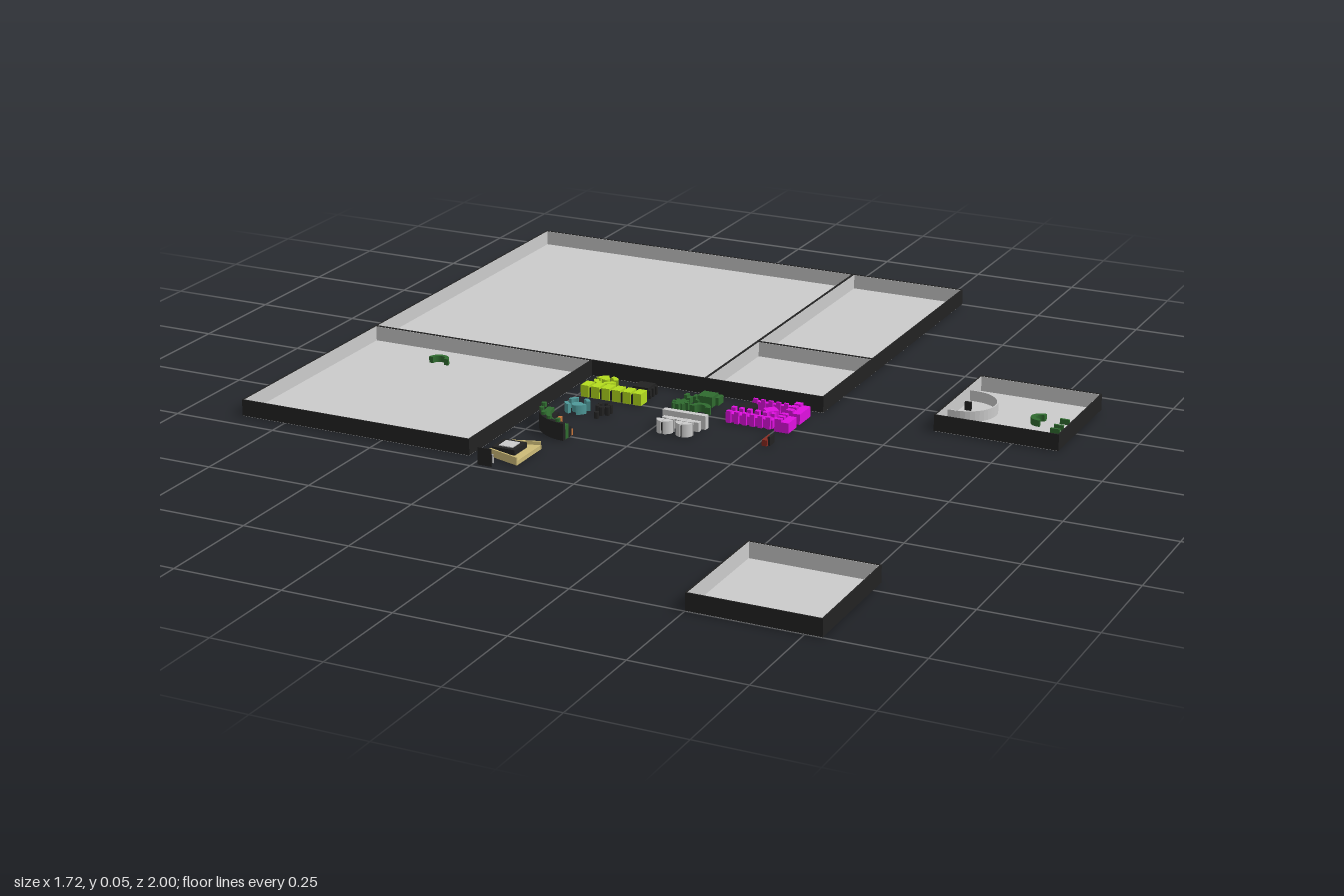
import * as THREE from 'three';

const mats = {};
const mat = (c) => (mats[c] ??= new THREE.MeshStandardMaterial({ color: c, flatShading: true, side: THREE.DoubleSide }));
const GREY = 0xcccccc, DARK = 0x222222, LIME = 0xb4dc1e, GREEN = 0x2f6b2f, PINK = 0xe010e0;
const TEAL = 0x4f9a9a, TAN = 0xcdbb78, ORANGE = 0xc8743a, RED = 0x8a2a20;

function add(parent, name, geo, color, x = 0, y = 0, z = 0) {
  const m = new THREE.Mesh(geo, mat(color));
  m.name = name;
  m.position.set(x, y, z);
  parent.add(m);
  return m;
}

// Box given by its centre in plan, its base height and its size
const box = (p, name, c, x, z, w, d, h, y = 0) =>
  add(p, name, new THREE.BoxGeometry(w, h, d), c, x, y + h / 2, z);

const disc = (p, name, c, x, z, r, h, y = 0, sides = 20) =>
  add(p, name, new THREE.CylinderGeometry(r, r, h, sides), c, x, y + h / 2, z);

// Upright extrusion of a plan shape; shape y points to -z
function slab(p, name, c, shape, x, z, h, y = 0) {
  const g = new THREE.ExtrudeGeometry(shape, { depth: h, bevelEnabled: false, curveSegments: 10 });
  g.rotateX(-Math.PI / 2);
  return add(p, name, g, c, x, y, z);
}

// Curved wall between two angles (degrees)
function arc(p, name, c, x, z, ri, ro, a0, a1, h, y = 0) {
  const s = new THREE.Shape(), a = a0 * Math.PI / 180, b = a1 * Math.PI / 180;
  s.absarc(0, 0, ro, a, b, false);
  s.absarc(0, 0, ri, b, a, true);
  s.closePath();
  return slab(p, name, c, s, x, z, h, y);
}

function group(parent, name) {
  const g = new THREE.Group();
  g.name = name;
  parent.add(g);
  return g;
}

// Open tray: floor, dark outer walls and light inner lining
function tray(parent, name, x0, x1, z0, z1) {
  const g = group(parent, name), H = 0.038, t = 0.003;
  const w = x1 - x0, d = z1 - z0, cx = (x0 + x1) / 2, cz = (z0 + z1) / 2;
  box(g, 'floor', GREY, cx, cz, w - 0.002, d - 0.002, 0.003);
  for (const s of [-1, 1]) {
    box(g, 'sideWall', DARK, cx + s * (w - t) / 2, cz, t, d, H, 0.001);
    box(g, 'endWall', DARK, cx, cz + s * (d - t) / 2, w, t, H, 0.001);
    box(g, 'sideLining', GREY, cx + s * (w / 2 - t - 0.0005), cz, 0.001, d - 2 * t, H - 0.002, 0.002);
    box(g, 'endLining', GREY, cx, cz + s * (d / 2 - t - 0.0005), w - 2 * t, 0.001, H - 0.002, 0.002);
  }
  return g;
}

// Ring of separate curved walls
function brokenRing(p, name, c, x, z, ri, ro, n, gap, h) {
  for (let i = 0; i < n; i++) {
    const a = (i * 360) / n + gap / 2;
    arc(p, name, c, x, z, ri, ro, a, a + 360 / n - gap, h);
  }
}

// Battlement strip along x with teeth on one edge
function battlement(p, x0, x1, z, d, n, side) {
  box(p, 'battlementWall', PINK, (x0 + x1) / 2, z, x1 - x0, d * 0.6, 0.02);
  const step = (x1 - x0) / n;
  for (let i = 0; i < n; i++) {
    box(p, 'battlementTooth', PINK, x0 + (i + 0.5) * step, z + side * d * 0.35, step * 0.55, d * 0.3, 0.028);
  }
}

export function createModel() {
  const model = new THREE.Group();
  model.name = 'trayLayout';

  // Trays
  tray(model, 'largeTray', -0.86, 0.01, -1, -0.13);
  tray(model, 'longTray', 0.01, 0.302, -1, -0.42);
  tray(model, 'smallTray', 0.01, 0.302, -0.42, -0.13);
  const mid = tray(model, 'mediumTray', -0.86, -0.28, -0.13, 0.45);
  const yard = tray(model, 'separateTray', 0.567, 0.857, -0.42, -0.13);
  tray(model, 'frontTray', 0.5, 0.787, 0.71, 1);

  // Pieces standing in the trays
  arc(mid, 'curvedBarrier', GREEN, -0.637, -0.04, 0.015, 0.025, 0, 180, 0.015, 0.003);
  arc(yard, 'roundWall', GREY, 0.589, -0.275, 0.068, 0.071, -90, 90, 0.025, 0.003);
  box(yard, 'roundWallBack', GREY, 0.58, -0.345, 0.02, 0.003, 0.025, 0.003);
  box(yard, 'roundWallFront', GREY, 0.58, -0.205, 0.02, 0.003, 0.025, 0.003);
  box(yard, 'post', DARK, 0.59, -0.283, 0.015, 0.006, 0.02, 0.003);
  arc(yard, 'curvedBarrier', GREEN, 0.767, -0.273, 0.013, 0.024, 80, 280, 0.015, 0.003);
  for (const z of [-0.29, -0.25, -0.225]) box(yard, 'lowBarrier', GREEN, 0.816, z, 0.022, 0.006, 0.012, 0.003);

  // Lime set: ring, toothed block and row of blocks
  const lime = group(model, 'limeSet');
  brokenRing(lime, 'limeRing', LIME, -0.21, -0.065, 0.017, 0.028, 4, 24, 0.022);
  disc(lime, 'limeCore', LIME, -0.21, -0.065, 0.01, 0.025);
  box(lime, 'darkBlock', DARK, -0.113, -0.065, 0.038, 0.038, 0.025);
  for (let i = -1; i <= 1; i++) {
    box(lime, 'blockTooth', DARK, -0.113 + i * 0.016, -0.065, 0.008, 0.05, 0.02);
    box(lime, 'blockTooth', DARK, -0.113, -0.065 + i * 0.016, 0.05, 0.008, 0.02);
  }
  for (let i = 0; i < 6; i++) box(lime, 'limeBlock', LIME, -0.229 + i * 0.0265, -0.01, 0.02, 0.032, 0.028);
  box(lime, 'rowSpine', DARK, -0.163, -0.01, 0.15, 0.024, 0.022);

  // Green set: hedge block, cross, half ring and scraps
  const green = group(model, 'greenSet');
  box(green, 'hedgeBlock', GREEN, 0.045, -0.07, 0.036, 0.036, 0.025);
  box(green, 'hedgeCorner', GREEN, 0.058, -0.085, 0.025, 0.025, 0.018);
  for (const [x, z] of [[-0.01, -0.075], [0.005, -0.06], [0.028, -0.055], [0.012, -0.075]])
    box(green, 'hedgeScrap', GREEN, x, z, 0.008, 0.016, 0.015);
  for (let i = 0; i < 4; i++) {
    const arm = box(green, 'bushArm', GREEN, 0.002, -0.017, 0.04, 0.008, 0.018);
    arm.rotation.y = (i * Math.PI) / 4;
  }
  arc(green, 'curvedBarrier', GREEN, 0.055, -0.005, 0.013, 0.025, 0, 180, 0.018);

  // Magenta set: battlements, towers, disc and diamond
  const pink = group(model, 'magentaSet');
  battlement(pink, 0.148, 0.242, -0.09, 0.02, 5, 1);
  battlement(pink, 0.127, 0.242, 0, 0.036, 6, -1);
  battlement(pink, 0.127, 0.242, 0.004, 0.03, 6, 1);
  for (const z of [-0.068, 0.002]) {
    const d = z < 0 ? 0.06 : 0.045;
    box(pink, 'gateBlock', PINK, 0.274, z, 0.022, d, 0.024);
    for (const s of [-1, 0, 1]) box(pink, 'gateTooth', PINK, 0.259, z + s * d * 0.38, 0.016, d * 0.24, 0.03);
  }
  disc(pink, 'darkDisc', DARK, 0.155, -0.05, 0.021, 0.022);
  disc(pink, 'diamond', PINK, 0.211, -0.048, 0.02, 0.022, 0, 4);

  // Teal ring and dark cluster
  const teal = group(model, 'tealSet');
  brokenRing(teal, 'tealRing', TEAL, -0.202, 0.093, 0.02, 0.029, 4, 40, 0.022);
  disc(teal, 'tealCore', TEAL, -0.202, 0.093, 0.013, 0.016);
  for (let i = 0; i < 6; i++) {
    const a = (i * Math.PI) / 3 + Math.PI / 6;
    disc(teal, 'clusterPost', DARK, -0.14 + 0.014 * Math.cos(a), 0.083 + 0.014 * Math.sin(a), 0.006, 0.02, 0, 8);
  }
  disc(teal, 'clusterCore', DARK, -0.14, 0.083, 0.008, 0.014, 0, 8);
  disc(teal, 'loosePost', DARK, -0.141, 0.118, 0.006, 0.015, 0, 8);

  // Grey set: two long bars and two spoked drums
  const grey = group(model, 'greySet');
  box(grey, 'longBar', GREY, 0.058, 0.075, 0.106, 0.014, 0.032);
  box(grey, 'shortBar', GREY, 0.058, 0.096, 0.09, 0.012, 0.022);
  for (const x of [0.034, 0.081]) {
    for (let q = 0; q < 4; q++) {
      if (x < 0.05 && q === 1) continue;
      arc(grey, 'drumQuarter', GREY, x, 0.127, 0.003, 0.02, q * 90 + 7, q * 90 + 83, 0.03);
    }
    box(grey, 'drumSpoke', DARK, x, 0.127, 0.036, 0.003, 0.026);
    box(grey, 'drumSpoke', DARK, x, 0.127, 0.003, 0.036, 0.026);
  }

  // Small red stand
  const stand = group(model, 'redStand');
  box(stand, 'standBody', RED, 0.269, 0.1, 0.012, 0.036, 0.014);
  box(stand, 'standBack', DARK, 0.277, 0.1, 0.006, 0.022, 0.02);

  // Curved stepped terrace
  const terrace = group(model, 'curvedTerrace');
  const steps = [[0.06, 0.068, ORANGE, 0.014], [0.068, 0.08, DARK, 0.022], [0.08, 0.095, GREEN, 0.032], [0.095, 0.105, DARK, 0.04]];
  for (const [ri, ro, c, h] of steps) arc(terrace, 'terraceStep', c, -0.137, 0.175, ri, ro, 180, 268, h);
  for (let i = 0; i < 5; i++) {
    const a = ((190 + i * 17) * Math.PI) / 180;
    disc(terrace, 'terraceTop', GREEN, -0.137 + 0.098 * Math.cos(a), 0.175 - 0.098 * Math.sin(a), 0.006, 0.01, 0.037, 8);
  }

  // Flared stage with a dark cabin
  const stage = group(model, 'flaredStage');
  const plan = new THREE.Shape([[-0.04, -0.03], [0.04, -0.055], [0.04, 0.055], [-0.04, 0.03]].map((q) => new THREE.Vector2(...q)));
  slab(stage, 'stageDeck', TAN, plan, -0.2, 0.4, 0.01);
  box(stage, 'cabin', DARK, -0.208, 0.401, 0.056, 0.055, 0.018, 0.004);
  box(stage, 'cabinRoof', GREY, -0.208, 0.401, 0.034, 0.034, 0.003, 0.021);
  for (const s of [-1, 1]) {
    const rail = box(stage, 'stageRail', TAN, -0.2, 0.4 + s * 0.042, 0.083, 0.004, 0.018);
    rail.rotation.y = -s * 0.303;
  }

  // Upright thin panels
  box(model, 'shortPanel', GREY, -0.222, 0.465, 0.02, 0.002, 0.02);
  box(model, 'tallPanel', DARK, -0.222, 0.486, 0.034, 0.002, 0.04);

  return model;
}
